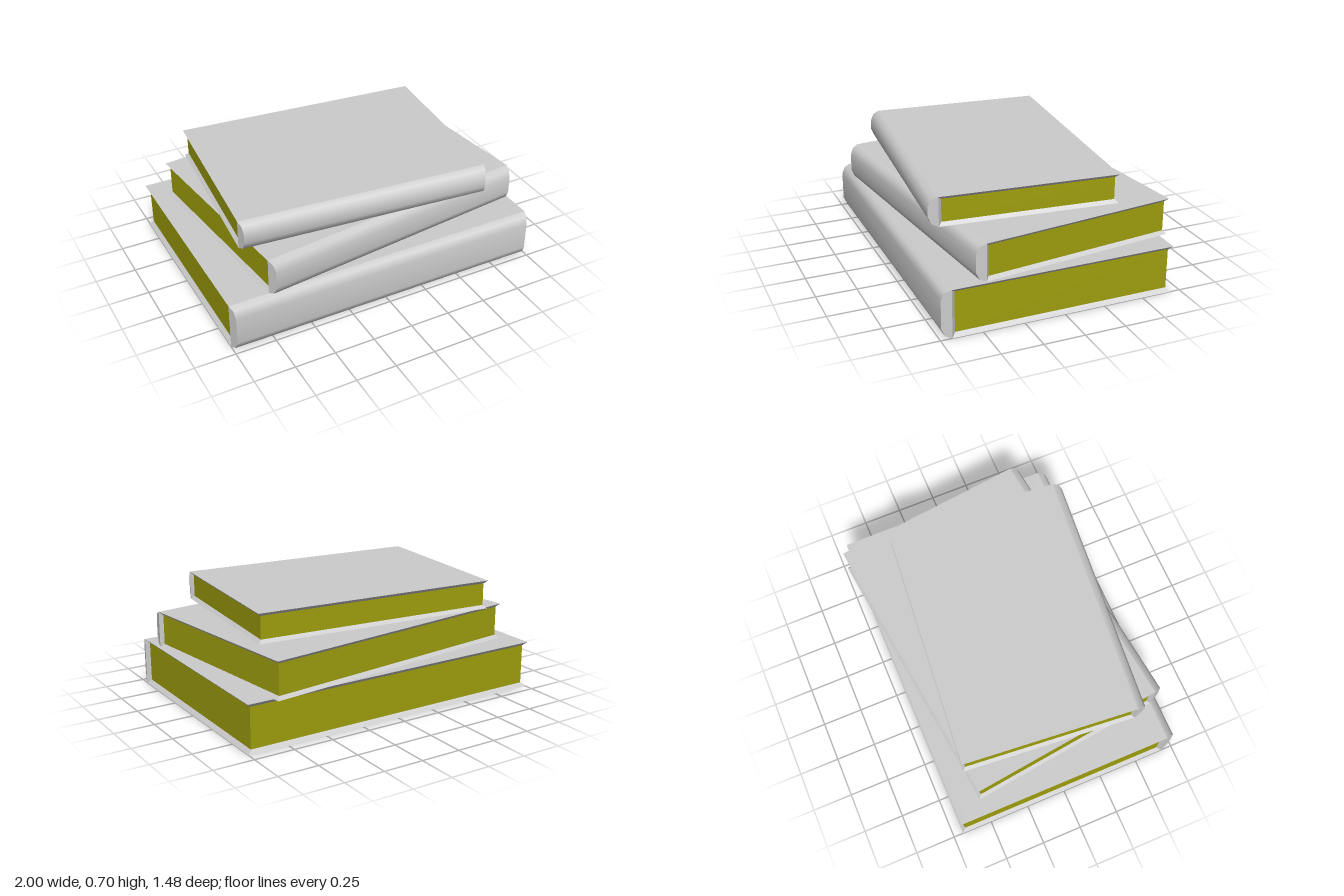
import * as THREE from 'three';

const cover = new THREE.MeshStandardMaterial({ color: 0xcccccc, side: THREE.DoubleSide });
cover.name = 'cover grey';
const paper = new THREE.MeshStandardMaterial({ color: 0x9f9f0e, side: THREE.DoubleSide });
paper.name = 'page yellow';

// Flat-shaded mesh from a list of four-cornered faces
function quadMesh(name, quads, material) {
  const pos = [];
  for (const [a, b, c, d] of quads) pos.push(...a, ...b, ...c, ...a, ...c, ...d);
  const g = new THREE.BufferGeometry();
  g.setAttribute('position', new THREE.Float32BufferAttribute(pos, 3));
  g.computeVertexNormals();
  const mesh = new THREE.Mesh(g, material);
  mesh.name = name;
  return mesh;
}

// Strip of faces between an upper and a lower loop
const strip = (top, low) =>
  top.slice(1).map((p, i) => [top[i], p, low[i + 1], low[i]]);

// A lying book: back edge on z = 0, spine towards +z, open underneath
function makeBook(name, w, h, d, lip) {
  const book = new THREE.Group();
  book.name = name;
  const hw = w / 2;

  // Plan outline, front left round the back to front right
  const loop = (y, i) => [
    [-hw + i, y, d - i], [-hw + i, y, i], [hw - i, y, i], [hw - i, y, d - i],
  ];
  const top = loop(h, 0), pageTop = loop(h - lip, lip);
  const pageLow = loop(lip, lip), low = loop(0, 0);

  book.add(quadMesh('topCover', [[top[1], top[0], top[3], top[2]]], cover));
  book.add(quadMesh('coverLips', [
    ...strip(top, pageTop),
    ...strip(pageLow, low),
    [top[0], pageTop[0], pageLow[0], low[0]],
    [low[3], pageLow[3], pageTop[3], top[3]],
  ], cover));
  book.add(quadMesh('pages', strip(pageTop, pageLow), paper));

  // Rounded spine: profile of [y, z, half width] from top to bottom
  const half = [[h, d, hw], [h - 0.015, d + 0.038, hw - 0.012], [h - 0.06, d + 0.058, hw - 0.018]];
  const profile = [...half, ...half.map(([y, z, x]) => [h - y, z, x]).reverse()];
  const pos = [], index = [];
  profile.forEach(([y, z, x], i) => {
    pos.push(-x, y, z, x, y, z);
    if (i) {
      const k = i * 2;
      index.push(k - 2, k, k + 1, k - 2, k + 1, k - 1);
    }
  });
  const g = new THREE.BufferGeometry();
  g.setAttribute('position', new THREE.Float32BufferAttribute(pos, 3));
  g.setIndex(index);
  g.computeVertexNormals();
  const spine = new THREE.Mesh(g, cover);
  spine.name = 'spine';
  book.add(spine);

  // Spine ends
  const ends = [];
  for (const i of [0, 1]) {
    const [a, b, c, e] = [i, i + 1, 4 - i, 5 - i];
    const at = (k, s) => [s * profile[k][2], profile[k][0], profile[k][1]];
    ends.push([a, e, c, b].map(k => at(k, -1)), [a, b, c, e].map(k => at(k, 1)));
  }
  book.add(quadMesh('spineEnds', ends, cover));
  return book;
}

export function createModel() {
  const stack = new THREE.Group();
  stack.name = 'bookStack';
  // name, width, height, depth, lip, back edge centre x, y, z, turn
  const books = [
    ['bottomBook', 2, 0.295, 1.37, 0.023, 0, 0, -0.69, 0],
    ['middleBook', 1.753, 0.226, 1.22, 0.02, -0.03, 0.298, -0.635, 0.12],
    ['topBook', 1.546, 0.178, 1.074, 0.02, 0.015, 0.526, -0.503, -0.0875],
  ];
  for (const [name, w, h, d, lip, x, y, z, turn] of books) {
    const book = makeBook(name, w, h, d, lip);
    book.position.set(x, y, z);
    book.rotation.y = turn;
    stack.add(book);
  }
  return stack;
}
